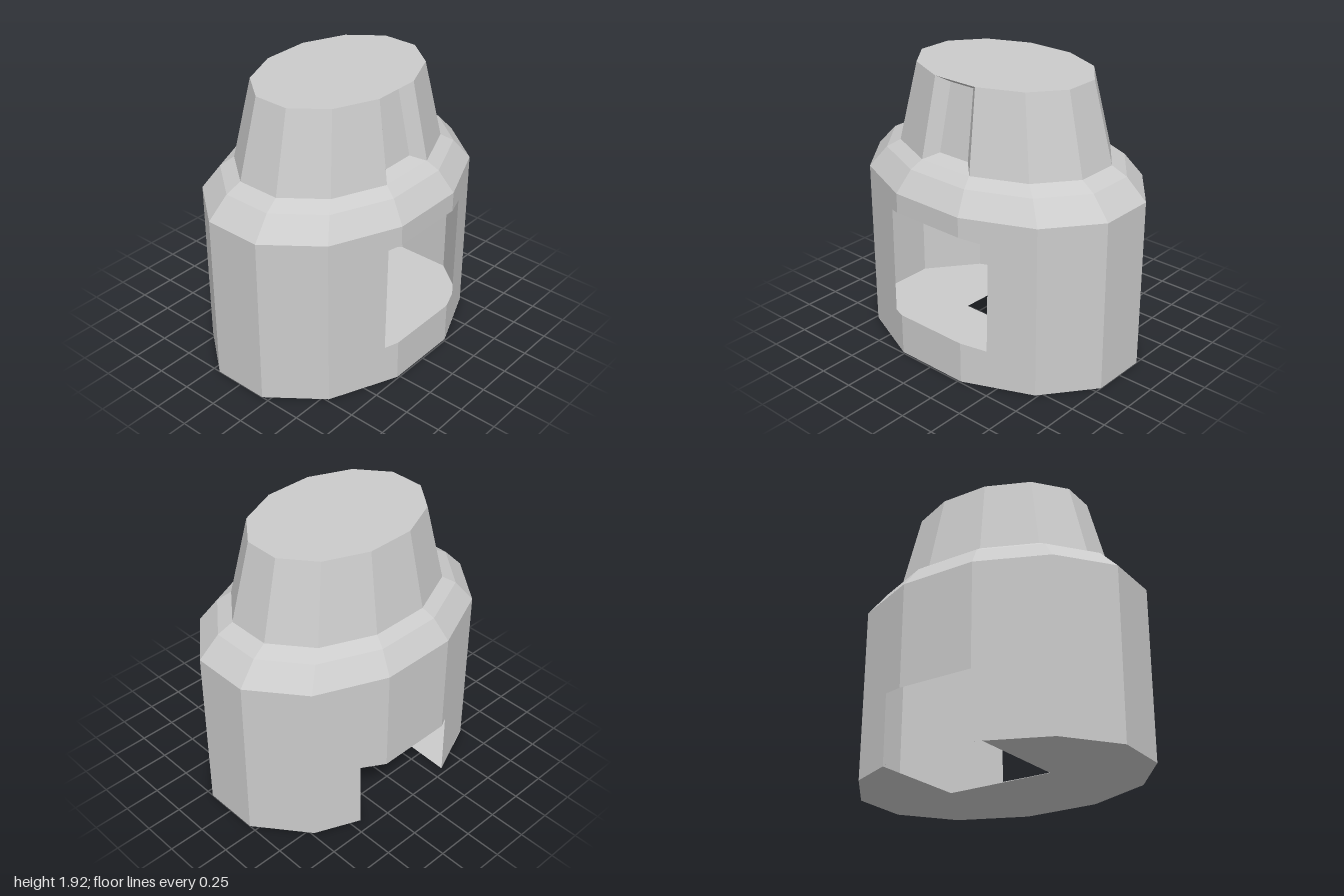
import * as THREE from 'three';

const material = new THREE.MeshStandardMaterial({ color: 0xcccccc, flatShading: true, side: THREE.DoubleSide });
const STEP = Math.PI / 6;          // the plan is a 12-sided oval
const R = 1 / Math.cos(STEP / 2);  // corner radius when the flats sit at x = 1
const DEPTH = 0.74;                // z squash of the oval

export function createModel() {
  const group = new THREE.Group();

  const add = (name, geometry) => {
    const mesh = new THREE.Mesh(geometry, material);
    mesh.name = name;
    group.add(mesh);
  };

  // Open oval band; 'first' is the first facet, counted from the front one
  const band = (bottom, top, y0, y1, first = 0, count = 12) =>
    new THREE.CylinderGeometry(top * R, bottom * R, y1 - y0, count, 1, true, (first - 0.5) * STEP, count * STEP)
      .scale(1, 1, DEPTH)
      .translate(0, (y0 + y1) / 2, 0);

  // Flat outline bent onto the front or back of the oval
  const wallZ = (x) => 0.74 - Math.max(0, Math.abs(x) - 0.268) * 0.4286;
  const wall = (name, outline, back = false) => {
    const flip = back ? -1 : 1;
    const shape = new THREE.Shape(outline.map(([x, y]) => new THREE.Vector2(x * flip, y)));
    const geometry = new THREE.ShapeGeometry(shape);
    const p = geometry.attributes.position;
    for (let i = 0; i < p.count; i++) p.setZ(i, wallZ(p.getX(i)));
    if (back) geometry.rotateY(Math.PI);
    geometry.computeVertexNormals();
    add(name, geometry);
  };

  const H = 1.185, A = 0.268, B = 0.732;

  // Side walls
  add('leftWall', band(1, 1, 0, H, 2, 3));
  add('rightWall', band(1, 1, 0, H, 8, 3));

  // Front wall around the window
  wall('frontWallRight', [[-B, 0], [-A, 0], [-A, 0.29], [-0.36, 0.28], [-0.352, 1.035], [-A, 1.05], [-A, H], [-B, H]]);
  wall('frontWallSill', [[-A, 0], [A, 0], [A, 0.29], [-A, 0.29]]);
  wall('frontWallLintel', [[-A, 1.05], [A, 1.05], [A, H], [-A, H]]);
  wall('frontWallLeft', [[B, 0], [B, H], [A, H], [A, 1.05], [0.445, 1.02], [0.433, 0.265], [A, 0.29], [A, 0]]);

  // Back wall above and beside the doorway
  wall('backWallRight', [[-B, 0], [-0.335, 0], [-0.33, 0.47], [-A, 0.46], [-A, H], [-B, H]], true);
  wall('backWallLintel', [[-A, 0.46], [A, 0.46], [A, H], [-A, H]], true);
  wall('backWallLeft', [[B, 0], [B, H], [A, H], [A, 0.46], [0.435, 0.485], [0.43, 0]], true);

  // Floor with a notch cut in from the doorway
  const rim = [];
  for (let i = 0; i < 12; i++) {
    const a = (i + 0.5) * STEP;
    rim.push(new THREE.Vector2(Math.sin(a) * R, -Math.cos(a) * R * DEPTH));
  }
  const notch = [[-0.335, -wallZ(0.335)], [-0.36, 0], [0.4, 0], [0.43, -wallZ(0.43)]];
  const floor = new THREE.Shape([...rim, ...notch.map(([x, z]) => new THREE.Vector2(x, z))]);
  add('floor', new THREE.ShapeGeometry(floor).rotateX(Math.PI / 2));

  // Two-step shoulder
  add('lowerShoulder', band(1, 0.865, H, 1.33));
  add('upperShoulder', band(0.865, 0.762, 1.33, 1.385));

  // Tapered cap, open on its front facet, with a flat lid
  add('cap', band(0.762, 0.625, 1.385, 1.925, 1, 11));
  add('capLid', new THREE.CircleGeometry(0.625 * R, 12, STEP / 2)
    .rotateX(-Math.PI / 2).scale(1, 1, DEPTH).translate(0, 1.925, 0));

  // Bevelled recess filling the front facet of the cap
  const quad = (w0, y0, z0, w1, y1, z1) => [-w0, y0, z0, w0, y0, z0, w1, y1, z1, -w1, y1, z1];
  const recess = new THREE.BufferGeometry();
  recess.setAttribute('position', new THREE.Float32BufferAttribute([
    ...quad(0.762 * A, 1.385, 0.762 * DEPTH, 0.625 * A, 1.925, 0.625 * DEPTH),
    ...quad(0.12, 1.43, 0.485, 0.095, 1.885, 0.4),
  ], 3));
  const faces = [4, 5, 6, 4, 6, 7];
  for (let i = 0; i < 4; i++) {
    const j = (i + 1) % 4;
    faces.push(i, j, j + 4, i, j + 4, i + 4);
  }
  recess.setIndex(faces);
  const flatRecess = recess.toNonIndexed();
  flatRecess.computeVertexNormals();
  add('frontRecess', flatRecess);

  return group;
}
